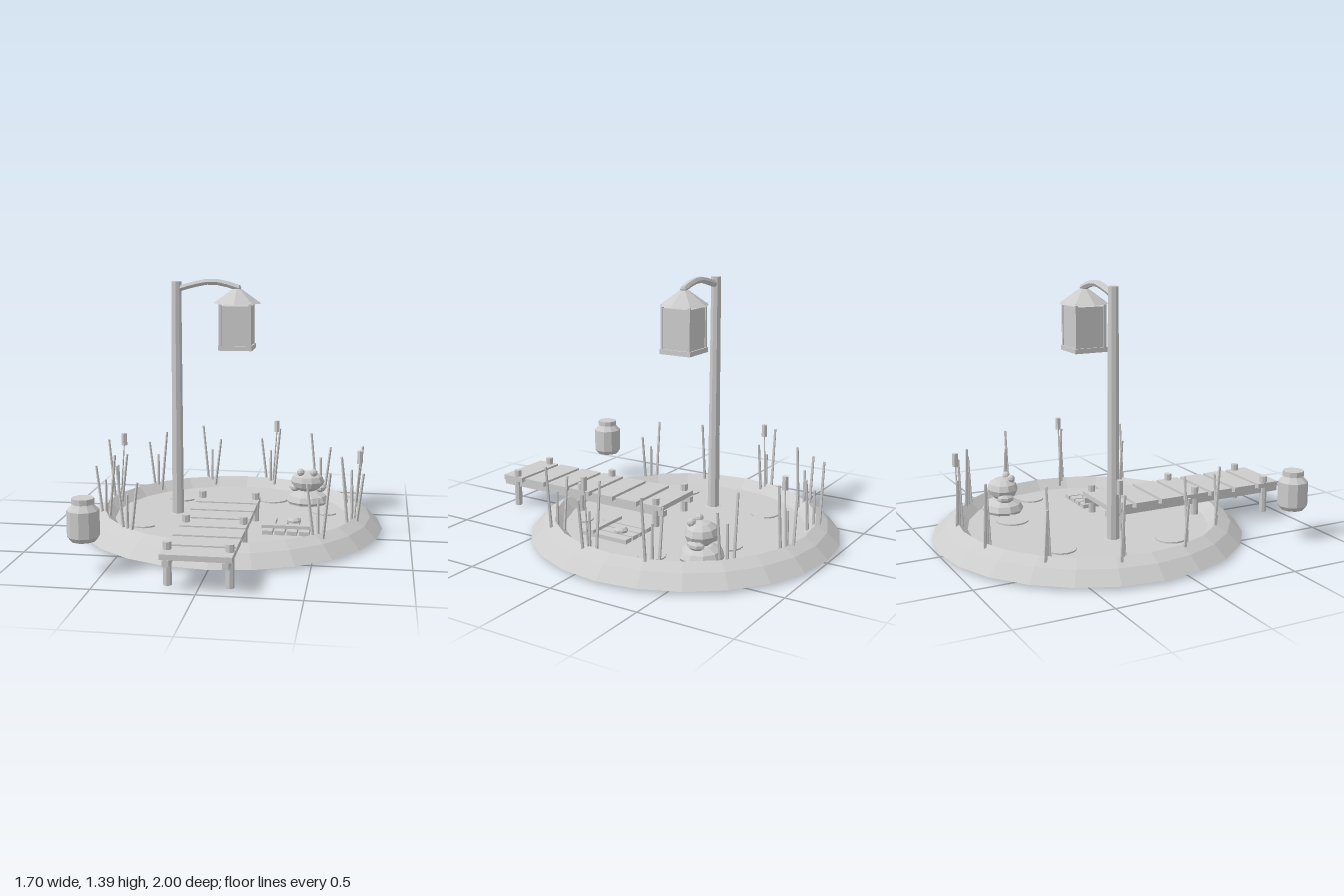
import * as THREE from 'three';

const clay = new THREE.MeshStandardMaterial({ color: 0xcccccc, flatShading: true });
clay.name = 'light grey';

function add(parent, name, geometry, x = 0, y = 0, z = 0) {
  const mesh = new THREE.Mesh(geometry, clay);
  mesh.name = name;
  mesh.position.set(x, y, z);
  parent.add(mesh);
  return mesh;
}
const box = (w, h, d) => new THREE.BoxGeometry(w, h, d);
const cyl = (rTop, rBottom, h, sides = 8) => new THREE.CylinderGeometry(rTop, rBottom, h, sides);
const lathe = (pts, sides) => new THREE.LatheGeometry(pts.map(p => new THREE.Vector2(...p)), sides);
const blob = (rx, ry, rz, sides = 10, rows = 6) => new THREE.SphereGeometry(1, sides, rows).scale(rx, ry, rz);

// Thin rod between two points
function rod(parent, name, a, b, rTop, rBottom, sides = 5) {
  const from = new THREE.Vector3(...a), to = new THREE.Vector3(...b);
  const dir = to.clone().sub(from);
  const mid = from.clone().add(to).multiplyScalar(0.5);
  const mesh = add(parent, name, cyl(rTop, rBottom, dir.length(), sides), mid.x, mid.y, mid.z);
  mesh.quaternion.setFromUnitVectors(new THREE.Vector3(0, 1, 0), dir.normalize());
}

function group(parent, name, x = 0, y = 0, z = 0) {
  const g = new THREE.Group();
  g.name = name;
  g.position.set(x, y, z);
  parent.add(g);
  return g;
}

function buildPond(root) {
  const pond = group(root, 'pond', 0, 0, -0.155);
  add(pond, 'bank', lathe([[0.66, 0.02], [0.848, 0.02], [0.78, 0.085], [0.715, 0.12],
    [0.657, 0.065], [0.66, 0.02]], 24));
  add(pond, 'water', cyl(0.665, 0.665, 0.008, 24), 0, 0.061, 0);

  // Lily pads: x, z, radius, notch direction
  const pads = [[-0.34, -0.47, 0.08, 0], [0.2, -0.52, 0.09, 0.25], [0.525, -0.275, 0.073, -0.1],
    [0.275, 0.345, 0.064, 0], [-0.45, 0.11, 0.083, -0.1]];
  for (const [x, z, r, turn] of pads) {
    const notch = 0.85;
    const geo = new THREE.CylinderGeometry(r, r, 0.008, 14, 1, false,
      Math.PI / 2 + notch / 2, Math.PI * 2 - notch);
    add(root, 'lilyPad', geo, x, 0.07, z).rotation.y = turn;
  }
}

function buildReeds(root) {
  // Cluster centres around the bank; some carry a cattail
  const clusters = [[-0.22, -0.82], [0.15, -0.84, true], [0.473, -0.675], [0.67, -0.37],
    [0.683, -0.005, true], [0.52, 0.325], [-0.473, 0.375], [-0.67, 0.07],
    [-0.695, -0.3, true], [-0.525, -0.625]];
  clusters.forEach(([x, z, cattail], i) => {
    const reeds = group(root, 'reedCluster', x, 0, z);
    const heights = i % 2 ? [0.37, 0.3, 0.445] : [0.445, 0.3, 0.37];
    heights.forEach((h, k) => {
      const side = k - 1;
      rod(reeds, 'reed', [side * 0.025, 0.08, side * 0.023], [side * 0.06, h, side * 0.023], 0.007, 0.009);
    });
    if (cattail) {
      rod(reeds, 'cattailStem', [0.012, 0.08, 0], [0.037, 0.43, 0], 0.004, 0.005);
      add(reeds, 'cattailHead', cyl(0.017, 0.017, 0.07, 6), 0.038, 0.455, 0);
    }
  });
}

function buildDock(root) {
  const dock = group(root, 'dock');
  for (let i = 0; i < 7; i++) {
    add(dock, 'plank', box(0.342, 0.027, 0.137), 0, 0.174, -0.035 + i * 0.1605);
  }
  for (const s of [-1, 1]) {
    add(dock, 'beam', box(0.032, 0.032, 1.112), s * 0.14, 0.144, 0.444);
    for (const z of [-0.057, 0.44, 0.908]) {
      add(dock, 'post', cyl(0.021, 0.021, 0.212), s * 0.149, 0.119, z);
    }
  }
}

function buildLamp(root) {
  const lamp = group(root, 'lampPost', 0, 0, -0.157);
  add(lamp, 'pole', cyl(0.028, 0.034, 1.333), -0.31, 0.717, 0);
  add(lamp, 'poleFooting', blob(0.09, 0.034, 0.09), -0.31, 0.037, 0);
  const curve = new THREE.CatmullRomCurve3([[-0.31, 1.338], [-0.22, 1.365], [-0.12, 1.383],
    [-0.04, 1.373], [0.035, 1.35]].map(([x, y]) => new THREE.Vector3(x, y, 0)));
  add(lamp, 'arm', new THREE.TubeGeometry(curve, 6, 0.0185, 6, false));
  add(lamp, 'armTip', blob(0.02, 0.02, 0.02, 6, 4), 0.033, 1.35, 0);

  // Lantern
  const lantern = group(lamp, 'lantern', 0.03, 0, 0);
  add(lantern, 'roof', cyl(0.025, 0.135, 0.078, 8), 0, 1.304, 0);
  add(lantern, 'glass', box(0.168, 0.218, 0.168), 0, 1.145, 0);
  add(lantern, 'floor', box(0.186, 0.026, 0.186), 0, 1.025, 0);
  for (const x of [-1, 1]) for (const z of [-1, 1]) {
    add(lantern, 'cornerBar', box(0.014, 0.245, 0.014), x * 0.082, 1.152, z * 0.082);
  }
}

function buildFrog(root) {
  const g = group(root, 'frogOnRock', 0.407, 0, -0.495);
  add(g, 'rock', blob(0.127, 0.062, 0.115), 0, 0.08, 0);
  add(g, 'body', blob(0.1, 0.063, 0.085), 0, 0.195, 0);
  for (const s of [-1, 1]) {
    add(g, 'haunch', blob(0.035, 0.025, 0.05, 7, 5), s * 0.075, 0.155, -0.01);
    add(g, 'eye', blob(0.023, 0.023, 0.023, 8, 6), s * 0.038, 0.255, 0.038);
  }
}

function buildRaft(root) {
  const raft = group(root, 'raft', 0.342, 0, 0.067);
  for (let i = 0; i < 4; i++) {
    add(raft, 'slat', box(0.054, 0.022, 0.287), (i - 1.5) * 0.065, 0.077, 0);
  }
  add(raft, 'crossbar', box(0.265, 0.018, 0.036), 0, 0.096, 0.076);
  add(raft, 'bundle', lathe([[0, 0.085], [0.036, 0.085], [0.038, 0.1], [0.026, 0.113], [0, 0.113]], 8),
    0.028, 0, -0.048);
}

function buildJar(root) {
  const jar = group(root, 'jar', -0.59, 0, 0.783);
  add(jar, 'jarBody', lathe([[0, 0.172], [0.064, 0.172], [0.08, 0.195], [0.08, 0.325],
    [0.058, 0.348], [0.05, 0.358], [0, 0.358]], 10));
  add(jar, 'jarLid', cyl(0.056, 0.056, 0.028, 10), 0, 0.37, 0);
}

export function createModel() {
  const root = new THREE.Group();
  root.name = 'pondWithLantern';
  buildPond(root);
  buildReeds(root);
  buildDock(root);
  buildLamp(root);
  buildFrog(root);
  buildRaft(root);
  buildJar(root);
  return root;
}
